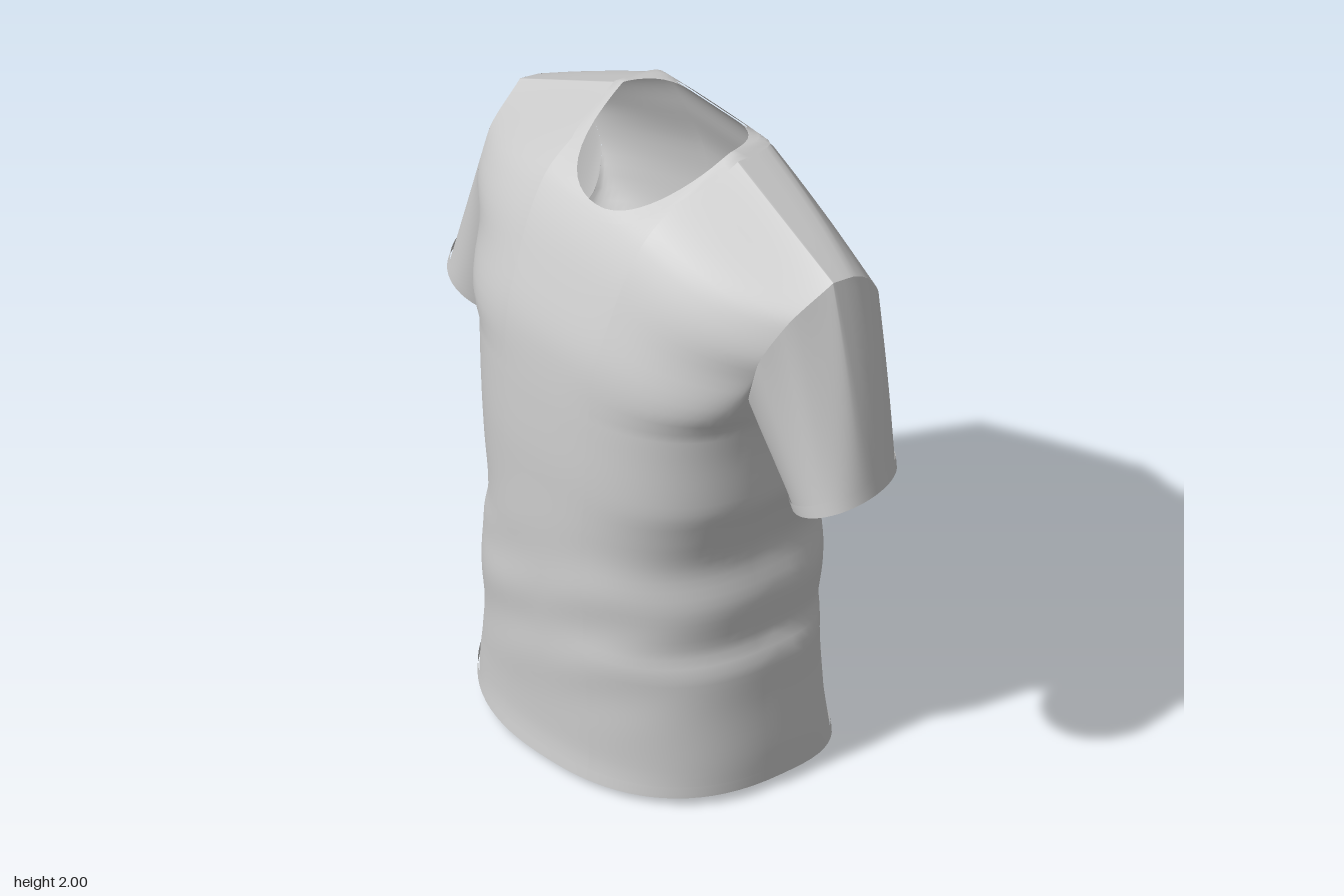
import * as THREE from 'three';
import { mergeGeometries, mergeVertices } from 'three/addons/utils/BufferGeometryUtils.js';

const PIT = 1.28, TOP = 2, NECK = 0.343; // armpit level, shoulder level, neck share of the shoulder width

// Smooth monotone curve through [y, value] pairs
function curve(pts) {
  const n = pts.length;
  const d = pts.slice(1).map((p, i) => (p[1] - pts[i][1]) / (p[0] - pts[i][0]));
  const m = pts.map((_, i) => {
    if (i === 0) return d[0];
    if (i === n - 1) return d[n - 2];
    return d[i - 1] * d[i] <= 0 ? 0 : (2 * d[i - 1] * d[i]) / (d[i - 1] + d[i]);
  });
  return (y) => {
    if (y <= pts[0][0]) return pts[0][1];
    if (y >= pts[n - 1][0]) return pts[n - 1][1];
    let i = 0;
    while (y > pts[i + 1][0]) i++;
    const h = pts[i + 1][0] - pts[i][0], t = (y - pts[i][0]) / h, t2 = t * t, t3 = t2 * t;
    return (2 * t3 - 3 * t2 + 1) * pts[i][1] + (t3 - 2 * t2 + t) * h * m[i]
      + (3 * t2 - 2 * t3) * pts[i + 1][1] + (t3 - t2) * h * m[i + 1];
  };
}

// Half widths, centre depths and armhole edge depths by height
const widthLeft = curve([[0, .54], [.08, .54], [.3, .525], [.42, .52], [.5, .49], [.63, .5], [.77, .47], [.9, .5], [1, .53], [1.15, .535], [PIT, .55], [1.6, .61], [2, .7]]);
const widthRight = curve([[0, .545], [.08, .55], [.2, .53], [.33, .515], [.5, .525], [.62, .51], [.73, .48], [.9, .505], [1.1, .53], [PIT, .55], [1.6, .61], [2, .7]]);
const frontDepth = curve([[0, .41], [.1, .4], [.4, .41], [.7, .415], [1, .415], [1.2, .408], [1.4, .39], [1.6, .33], [1.82, .215], [2, -.1]]);
const backDepth = curve([[0, -.4], [.2, -.365], [.38, -.36], [.6, -.4], [1, -.415], [1.5, -.41], [1.65, -.39], [1.8, -.335], [1.98, -.24], [2, -.1]]);
const frontEdge = curve([[0, -.05], [PIT, -.05], [1.36, .07], [1.5, .125], [1.65, .125], [1.85, .05], [2, -.1]]);
const backEdge = curve([[0, -.05], [PIT, -.05], [1.35, -.19], [1.45, -.29], [1.6, -.33], [1.75, -.32], [1.9, -.26], [1.98, -.18], [2, -.1]]);

// Point on the body: s runs from side to side (-1..1), h is the height before the shoulders slope, dir is 1 front, -1 back
function body(s, h, dir) {
  const a = Math.min(1, Math.abs(s));
  const p = dir > 0 ? 2.5 : 2.8;
  const k = THREE.MathUtils.smoothstep(h, PIT, 1.6);
  const round = THREE.MathUtils.lerp(Math.pow(1 - Math.pow(a, p), 1 / p), 1 - a * a * a, k);
  const edge = (dir > 0 ? frontEdge : backEdge)(h), mid = (dir > 0 ? frontDepth : backDepth)(h);
  const window = Math.exp(-Math.pow((h - .5) / .25, 2)) * (1 - a * a);
  const fold = .008 * Math.sin(24 * h - 5 * s) * window * (.3 + .7 * a);
  const drop = .22 * Math.max(0, (a - NECK) / (1 - NECK));
  const y = h > PIT ? PIT + (h - PIT) * (TOP - drop - PIT) / (TOP - PIT) : h;
  return new THREE.Vector3(s * (s > 0 ? widthLeft : widthRight)(h), y, edge + (mid - edge) * round + dir * fold);
}

const hemHeight = (s, dir) =>
  .015 + .05 * Math.max(0, -s) ** 2 + .015 * Math.max(0, s) ** 2 - (dir < 0 ? .015 * (1 - s * s) : 0);
const neckDip = (dir) => (dir > 0 ? .17 : .022);
const neckHeight = (s, dir) => TOP - neckDip(dir) * Math.sqrt(Math.max(0, 1 - (s / NECK) ** 2));

// Surface over a grid of nu by nv cells
function grid(nu, nv, point, flip) {
  const pos = [], index = [];
  for (let j = 0; j <= nv; j++) for (let i = 0; i <= nu; i++) pos.push(...point(i, j).toArray());
  for (let j = 0; j < nv; j++) for (let i = 0; i < nu; i++) {
    const a = j * (nu + 1) + i, b = a + 1, c = b + nu + 1, d = a + nu + 1;
    if (flip) index.push(a, c, b, a, d, c);
    else index.push(a, b, c, a, c, d);
  }
  const g = new THREE.BufferGeometry();
  g.setAttribute('position', new THREE.Float32BufferAttribute(pos, 3));
  g.setIndex(index);
  return g;
}

function weld(parts) {
  const g = mergeVertices(mergeGeometries(parts), 1e-4);
  g.computeVertexNormals();
  return g;
}

// Columns: dense at the neck corners and at the sides
const columns = [];
const SIDE = 16, MID = 24;
for (let i = 0; i < SIDE; i++) columns.push(-NECK - (1 - NECK) * Math.cos(i / SIDE * Math.PI / 2));
for (let i = 0; i <= MID; i++) columns.push(NECK * Math.sin((i / MID - .5) * Math.PI));
for (let i = 1; i <= SIDE; i++) columns.push(NECK + (1 - NECK) * Math.sin(i / SIDE * Math.PI / 2));
const COLS = columns.length - 1, LOW = 44, HIGH = 28;

function bodyPanel(dir) {
  return grid(COLS, LOW + HIGH, (i, j) => {
    const s = columns[i], low = hemHeight(s, dir);
    if (j <= LOW) return body(s, low + (PIT - low) * j / LOW, dir);
    const t = 1 - (1 - (j - LOW) / HIGH) ** 2;
    return body(s, PIT + (neckHeight(s, dir) - PIT) * t, dir);
  }, dir < 0);
}

// Band lying just outside the lower edge
function hemPanel(dir) {
  return grid(COLS, 3, (i, j) => {
    const p = body(columns[i], hemHeight(columns[i], dir) + .036 * j / 3, dir);
    p.x *= 1.008;
    p.z = -.05 + (p.z + .05) * 1.012;
    return p;
  }, dir < 0);
}

// Band around the neck opening
function collarPanel(dir) {
  return grid(32, 3, (i, j) => {
    const f = (i / 32 - .5) * Math.PI, w = 1 - j / 3;
    const s = NECK * Math.sin(f) * (1 + .15 * w);
    const p = body(s, TOP - (neckDip(dir) + .03 * w) * Math.cos(f), dir);
    p.y = Math.min(TOP, p.y + .004);
    p.z += dir * .005 * Math.cos(f);
    return p;
  }, dir < 0);
}

// Sleeve: blends from the armhole loop (v = 0) to a tilted oval opening (v = 1)
function sleevePoint(side, u, v, puff) {
  const dir = u < .5 ? 1 : -1, f = Math.PI - 2 * Math.PI * u;
  const start = body(side, PIT + (TOP - PIT) * (1 - Math.cos(2 * Math.PI * u)) / 2, dir);
  const c = Math.cos(f) * puff, s = Math.sin(f) * puff;
  const end = new THREE.Vector3(side * (.725 + .167 * c), 1.08 + .06 * c - .02 * s, -.12 + .06 * c + .175 * s);
  const p = start.lerp(end, v);
  p.x += side * .012 * Math.sin(Math.PI * v) * Math.cos(f);
  return p;
}

export function createModel() {
  const shirt = new THREE.Group();
  shirt.name = 'shirt';
  const fabric = new THREE.MeshStandardMaterial({ color: 0xcccccc, side: THREE.DoubleSide });
  fabric.name = 'light grey fabric';
  const add = (name, parts) => {
    const mesh = new THREE.Mesh(weld(parts), fabric);
    mesh.name = name;
    shirt.add(mesh);
  };

  add('body', [bodyPanel(1), bodyPanel(-1)]);
  add('hem', [hemPanel(1), hemPanel(-1)]);
  add('collar', [collarPanel(1), collarPanel(-1)]);
  for (const side of [1, -1]) {
    const label = side > 0 ? 'left' : 'right';
    add(label + 'Sleeve', [grid(56, 20, (i, j) => sleevePoint(side, i / 56, j / 20, 1), side > 0)]);
    add(label + 'Cuff', [grid(56, 2, (i, j) => sleevePoint(side, i / 56, .93 + .07 * j / 2, 1.03), side > 0)]);
  }
  return shirt;
}
